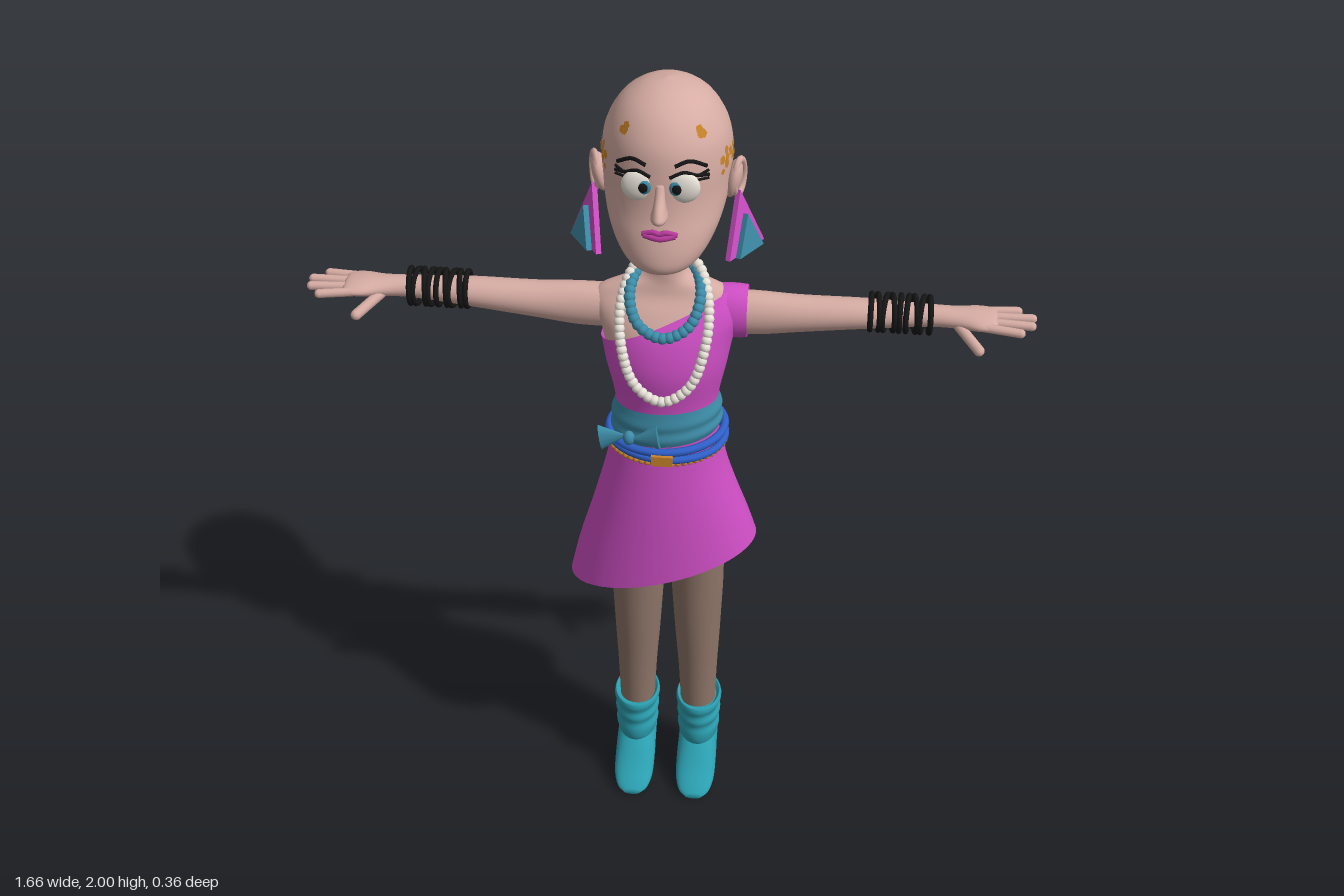
import * as THREE from 'three';
import { mergeGeometries } from 'three/addons/utils/BufferGeometryUtils.js';

const V = (x, y, z) => new THREE.Vector3(x, y, z);
const mat = (name, color, side = THREE.FrontSide) => {
  const m = new THREE.MeshStandardMaterial({ color, side });
  m.name = name;
  return m;
};

// Catmull-Rom blend of table rows at position s (0 .. rows.length - 1)
function rowAt(rows, s) {
  const n = rows.length - 1, i = Math.min(Math.floor(s), n - 1), t = s - i;
  const r = k => rows[Math.max(0, Math.min(n, k))];
  return rows[0].map((_, c) => {
    const [a, b, d, e] = [r(i - 1)[c], r(i)[c], r(i + 1)[c], r(i + 2)[c]];
    return b + 0.5 * t * (d - a + t * (2 * a - 5 * b + 4 * d - e + t * (3 * (b - d) + e - a)));
  });
}

// Closed-ring surface from f(angle, v); caps the ends and winds outward
function ringSurface(f, nu, nv, capped = true) {
  const pos = [], idx = [];
  for (let j = 0; j <= nv; j++)
    for (let i = 0; i < nu; i++) pos.push(...f((i / nu) * Math.PI * 2, j / nv));
  for (let j = 0; j < nv; j++)
    for (let i = 0; i < nu; i++) {
      const a = j * nu + i, b = j * nu + (i + 1) % nu;
      idx.push(a, b, a + nu, b, b + nu, a + nu);
    }
  if (capped) for (const j of [0, nv]) {
    const c = [0, 0, 0], k = pos.length / 3;
    for (let i = 0; i < nu; i++) for (let d = 0; d < 3; d++) c[d] += pos[(j * nu + i) * 3 + d] / nu;
    pos.push(...c);
    for (let i = 0; i < nu; i++) {
      const a = j * nu + i, b = j * nu + (i + 1) % nu;
      idx.push(...(j ? [a, b, k] : [b, a, k]));
    }
  }
  const p = i => V(pos[i * 3], pos[i * 3 + 1], pos[i * 3 + 2]);
  let vol = 0;
  for (let i = 0; i < idx.length; i += 3) vol += p(idx[i]).dot(p(idx[i + 1]).cross(p(idx[i + 2])));
  if (vol < 0) idx.reverse();
  const g = new THREE.BufferGeometry();
  g.setAttribute('position', new THREE.Float32BufferAttribute(pos, 3));
  g.setIndex(idx);
  g.computeVertexNormals();
  return g;
}

// Elliptic sections: [station, centreA, centreB, radiusA, radiusB] along an axis
function place([t, a, b, ra, rb], axis, u, grow = 0) {
  const p = a + (ra + grow) * Math.cos(u), q = b + (rb + grow) * Math.sin(u);
  return axis === 'y' ? [p, t, q] : axis === 'x' ? [t, p, q] : [p, q, t];
}
const loft = (rows, axis = 'y', nu = 32, capped = true) =>
  ringSurface((u, v) => place(rowAt(rows, v * (rows.length - 1)), axis, u), nu, (rows.length - 1) * 4, capped);

const HEAD = [
  [2, 0, -.028, .004, .004], [1.988, 0, -.026, .053, .058], [1.955, 0, -.025, .1, .11],
  [1.9, 0, -.026, .132, .146], [1.84, 0, -.025, .143, .155], [1.78, 0, -.018, .14, .152],
  [1.74, 0, .002, .134, .138], [1.7, 0, .034, .122, .117], [1.66, 0, .064, .102, .095],
  [1.63, 0, .08, .08, .079], [1.612, 0, .088, .054, .056], [1.606, 0, .09, .01, .01]];
const TORSO = [
  [1.05, 0, -.008, .12, .088], [1.12, 0, -.006, .116, .086], [1.2, 0, -.005, .113, .083],
  [1.3, 0, .002, .132, .087], [1.38, 0, -.005, .148, .08], [1.435, 0, -.016, .17, .064],
  [1.47, 0, -.024, .16, .048], [1.495, 0, -.026, .11, .042], [1.52, 0, -.025, .052, .038],
  [1.57, 0, -.024, .041, .037], [1.72, 0, -.02, .042, .038]];

// Head section at a given height, and points on the face
function headRow(y) {
  let a = 0, b = HEAD.length - 1;
  for (let k = 0; k < 30; k++) { const m = (a + b) / 2; if (rowAt(HEAD, m)[0] > y) a = m; else b = m; }
  return rowAt(HEAD, a);
}
function face(x, y, out = 0) {
  const [, , cz, rx, rz] = headRow(y);
  return V(x, y, cz + rz * Math.sqrt(Math.max(0, 1 - (x / rx) ** 2)) + out);
}

export function createModel() {
  const root = new THREE.Group();
  const skin = mat('skin', 0xd6aca3), pink = mat('magentaCloth', 0xd04fc6, THREE.DoubleSide),
    stocking = mat('stocking', 0x8e7568), boot = mat('bootTeal', 0x2ca2b3),
    teal = mat('sashTeal', 0x3d8ca8, THREE.DoubleSide), blue = mat('beltBlue', 0x2f60ca),
    black = mat('black', 0x151515), white = mat('pearl', 0xeae4da),
    gold = mat('gold', 0xc9842a, THREE.DoubleSide), lip = mat('lipstick', 0xb83a9c);
  const add = (name, geo, m, parent = root) => {
    const o = new THREE.Mesh(geo, m);
    o.name = name;
    parent.add(o);
    return o;
  };
  const ball = (name, p, sx, sy, sz, m) => {
    const o = add(name, new THREE.SphereGeometry(1, 24, 16), m);
    o.position.copy(p);
    o.scale.set(sx, sy, sz);
    return o;
  };
  const limb = (name, p, q, r, m) => {
    const o = add(name, new THREE.CapsuleGeometry(r, p.distanceTo(q), 5, 12), m);
    o.position.copy(p).lerp(q, .5);
    o.quaternion.setFromUnitVectors(V(0, 1, 0), q.clone().sub(p).normalize());
  };
  const beads = (name, curve, count, r, m) => add(name, mergeGeometries(
    curve.getSpacedPoints(count).slice(0, count).map(p =>
      new THREE.SphereGeometry(r, 10, 8).translate(p.x, p.y, p.z))), m);
  const tube = (name, pts, r, m, closed = false) => add(name,
    new THREE.TubeGeometry(new THREE.CatmullRomCurve3(pts, closed), 64, r, 8, closed), m);

  // Body
  add('head', loft(HEAD, 'y', 40), skin);
  add('torso', loft(TORSO, 'y', 40), skin);

  // One-shoulder bodice, cut off along a slanted neckline
  const neckline = Array.from({ length: 64 }, (_, i) => {
    let a = 0, b = 8;
    for (let k = 0; k < 30; k++) {
      const m = (a + b) / 2, [x, y] = place(rowAt(TORSO, m), 'y', i / 64 * Math.PI * 2);
      if (y < 1.425 + .45 * x) a = m; else b = m;
    }
    return a;
  });
  add('bodice', ringSurface((u, v) =>
    place(rowAt(TORSO, v * neckline[Math.round(u / Math.PI * 32) % 64]), 'y', u, .007), 64, 30, false), pink);
  add('shoulderStrap', loft([[.1, 1.425, -.028, .062, .05], [.15, 1.423, -.029, .066, .052],
    [.183, 1.422, -.03, .064, .051]], 'x', 32, false), pink);

  // Skirt with slanted hem
  const skirt = loft([[1.12, 0, -.008, .118, .091], [1.07, 0, -.01, .132, .096], [1, -.003, -.015, .147, .107],
    [.9, -.006, -.023, .175, .123], [.8, -.01, -.032, .206, .137], [.716, -.012, -.036, .228, .144]], 'y', 48, false);
  const sp = skirt.attributes.position;
  for (let i = 0; i < sp.count; i++)
    sp.setY(i, 1.12 + (sp.getY(i) - 1.12) * (1.12 - (.716 + .304 * sp.getX(i))) / .404);
  skirt.computeVertexNormals();
  add('skirt', skirt, pink);

  // Sash, bow and belts
  const sash = loft([[1.115, 0, -.006, .124, .096], [1.132, 0, -.006, .132, .1], [1.15, 0, -.006, .127, .096],
    [1.168, 0, -.006, .13, .098], [1.187, 0, -.006, .124, .094], [1.205, 0, -.005, .119, .09]], 'y', 48, false);
  const wp = sash.attributes.position;
  for (let i = 0; i < wp.count; i++) wp.setY(i, wp.getY(i) + .1 * wp.getX(i) - .06 * wp.getZ(i));
  sash.computeVertexNormals();
  add('sash', sash, teal);
  for (const s of [-1, 1]) {
    const loop = add('bowLoop', new THREE.ConeGeometry(.034, .066, 12), teal);
    loop.rotation.z = s * Math.PI / 2 + .15;
    loop.scale.z = .45;
    loop.position.set(-.078 + s * .036, 1.133 + s * .006, s > 0 ? .097 : .08);
  }
  ball('bowKnot', V(-.078, 1.134, .092), .014, .018, .014, teal);
  const hoop = (y, rx, rz, tilt) => Array.from({ length: 24 }, (_, i) => {
    const a = i / 24 * Math.PI * 2, x = rx * Math.cos(a), z = -.012 + rz * Math.sin(a);
    return V(x, y + tilt * x - .12 * z, z);
  });
  tube('blueBelt', hoop(1.108, .136, .105, .06), .01, blue, true);
  tube('blueBeltLower', hoop(1.09, .138, .107, -.02), .009, blue, true);
  beads('goldChain', new THREE.CatmullRomCurve3(hoop(1.078, .138, .106, .02), true), 54, .0075, gold);
  add('buckle', new THREE.BoxGeometry(.05, .026, .012), gold).position.set(0, 1.083, .104);

  // Necklaces
  const strand = half => new THREE.CatmullRomCurve3(
    [...half, ...half.slice(1, -1).reverse().map(p => V(-p.x, p.y, p.z))], true);
  beads('pearlNecklace', strand([V(0, 1.535, -.078), V(.065, 1.535, -.04), V(.098, 1.475, .03),
    V(.094, 1.38, .083), V(.06, 1.29, .105), V(0, 1.255, .113)]), 56, .0125, white);
  beads('tealNecklace', strand([V(0, 1.515, -.078), V(.06, 1.52, -.04), V(.08, 1.49, .03),
    V(.058, 1.435, .072), V(0, 1.41, .088)]), 36, .0135, teal);

  // Face
  const nose = [[1.825, 0, .125, .01, .008], [1.8, 0, .134, .011, .014], [1.775, 0, .144, .015, .03],
    [1.758, 0, .146, .019, .037], [1.746, 0, .143, .013, .022], [1.742, 0, .142, .004, .006]];
  add('nose', loft(nose, 'y', 20), skin);
  tube('upperLip', [face(-.038, 1.712), face(-.013, 1.719, .002), face(0, 1.716, .002), face(.013, 1.719, .002), face(.038, 1.712)], .006, lip);
  tube('lowerLip', [face(-.034, 1.71), face(0, 1.706, .002), face(.034, 1.71)], .007, lip);

  for (const s of [-1, 1]) {
    // Eyes, brows and lashes
    const e = face(s * .048, 1.817), look = V(s * .036, 1.818, e.z);
    ball('eyeWhite', e.clone().setZ(e.z - .004), .037, .037, .016, white);
    ball('iris', look.clone().setZ(e.z + .006), .017, .018, .007, teal);
    ball('pupil', look.clone().setZ(e.z + .0095), .011, .012, .006, black);
    tube('eyebrow', [face(s * .03, 1.868, .001), face(s * .06, 1.876, .001), face(s * .095, 1.856, .001)], .0045, black);
    tube('upperLash', [face(s * .02, 1.845, .006), face(s * .05, 1.855, .006), face(s * .076, 1.843, .005), face(s * .1, 1.835, .002)], .004, black);
    for (const k of [0, 1]) tube('lash', [face(s * .076, 1.84 - k * .008, .005), face(s * .1, 1.846 - k * .018, .004)], .003, black);

    // Ears and triangular earrings
    ball('ear', V(s * .146, 1.775, -.008), .018, .046, .03, skin).rotation.z = -s * .2;
    const rim = add('earRim', new THREE.TorusGeometry(.03, .007, 8, 24), skin);
    rim.position.set(s * .158, 1.778, -.01);
    rim.rotation.y = s * 1.2;
    rim.scale.set(.85, 1.35, 1);
    const earring = new THREE.Group();
    earring.name = 'earring';
    for (const [w, h, z, m] of [[.125, .145, 0, pink], [.085, .09, .014, teal]]) {
      const tri = new THREE.Shape([new THREE.Vector2(0, h - .145), new THREE.Vector2(-w / 2, -.145), new THREE.Vector2(w / 2, -.145)]);
      add('earringPlate', new THREE.ExtrudeGeometry(tri, { depth: .013, bevelEnabled: false }), m, earring).position.z = z;
    }
    earring.position.set(s * .152, 1.755, .005);
    earring.rotation.set(-.15, s * 1.0, 0, 'YXZ');
    root.add(earring);

    // Flaked gold paint on the scalp
    const flakes = [];
    let seed = 7;
    const rnd = () => (seed = (seed * 16807) % 2147483647) / 2147483647 - .5;
    for (const [y0, z0, n, spread] of [[1.845, .015, 12, .085], [1.78, -.1, 11, .08], [1.925, .075, 4, .03]])
      for (let k = 0; k < n; k++) {
        const y = y0 + rnd() * spread * .55, z = z0 + rnd() * spread, [, , cz, rx, rz] = headRow(y);
        const x = s * rx * Math.sqrt(Math.max(0, 1 - ((z - cz) / rz) ** 2));
        const normal = V(x / rx ** 2, (y - 1.83) / .03, (z - cz) / rz ** 2).normalize();
        const q = new THREE.Quaternion().setFromUnitVectors(V(0, 0, 1), normal);
        const c = V(x, y, z).addScaledVector(normal, .002);
        flakes.push(new THREE.CircleGeometry(.009 + rnd() * .006, 5).applyQuaternion(q).translate(c.x, c.y, c.z));
      }
    add('goldFlakes', mergeGeometries(flakes), gold);

    // Arm with hand
    add('arm', loft([[.09, 1.42, -.028, .052, .044], [.2, 1.42, -.029, .053, .043], [.3, 1.424, -.029, .044, .041],
      [.45, 1.433, -.03, .034, .038], [.58, 1.436, -.032, .026, .028], [.65, 1.438, -.028, .022, .033],
      [.7, 1.44, -.024, .019, .047], [.735, 1.44, -.022, .014, .046], [.745, 1.44, -.022, .004, .035]]
      .map(([t, ...r]) => [s * t, ...r]), 'x', 28), skin);
    [[-.057, -.066, .79], [-.034, -.038, .822], [-.01, -.006, .82], [.014, .026, .795]].forEach(([z0, z1, x]) =>
      limb('finger', V(s * .72, 1.44, z0), V(s * x, 1.438, z1), .0105, skin));
    limb('thumb', V(s * .655, 1.43, -.01), V(s * .705, 1.405, .055), .0125, skin);

    // Stack of bangles
    for (let k = 0; k < 9; k++) {
      const b = add('bangle', new THREE.TorusGeometry(.041, .0065, 8, 28), black);
      b.position.set(s * (.46 + k * .0165), 1.438, -.031);
      b.rotation.set(0, Math.PI / 2 + .16 * Math.sin(k * 2.4), .1 * Math.cos(k * 1.7));
    }

    // Legs
    const cx = s * .08;
    add('leg', loft([[1, s * .068, -.02, .062, .07], [.7, s * .073, -.032, .066, .067], [.5, s * .075, -.034, .058, .06],
      [.35, s * .077, -.034, .049, .05], [.2, s * .078, -.035, .043, .044]]), stocking);

    // Slouched ankle boot with stiletto heel
    add('bootShaft', loft([[.235, cx, -.04, .044, .06], [.248, cx, -.041, .054, .074], [.232, cx, -.042, .058, .078],
      [.212, cx, -.04, .05, .07], [.192, cx, -.042, .056, .074], [.172, cx, -.04, .049, .067],
      [.15, cx, -.041, .054, .07], [.125, cx, -.04, .049, .066], [.1, cx, -.04, .045, .055]]), boot);
    add('bootFoot', loft([[.107, cx, .008, .02, .007], [.092, cx, .016, .038, .016], [.06, cx, .033, .049, .032],
      [.02, cx, .062, .051, .056], [-.02, cx, .092, .05, .063], [-.06, cx, .113, .048, .05],
      [-.1, cx, .122, .037, .033], [-.117, cx, .125, .014, .014]], 'z', 28), boot);
    add('bootHeel', loft([[.14, cx, -.085, .034, .032], [.09, cx, -.088, .024, .024], [.045, cx, -.093, .013, .013],
      [0, cx, -.096, .01, .01]], 'y', 16), boot);
  }
  return root;
}
